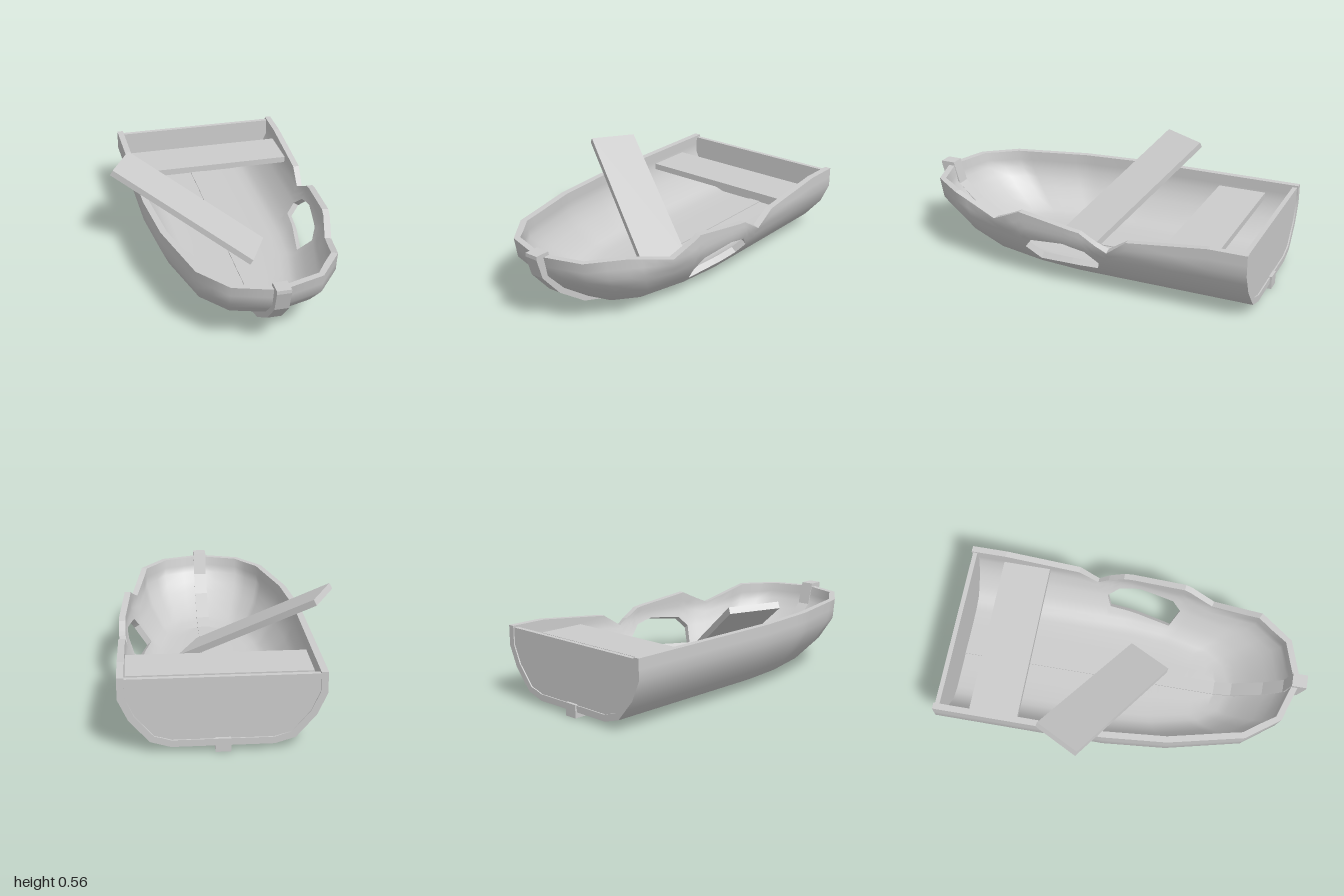
import * as THREE from 'three';

const TIP = 0.965, STERN = -0.99, THICK = 0.035;

// Piecewise-linear lookup in a list of [key, value] pairs
function lerpTable(table, k) {
  if (k <= table[0][0]) return table[0][1];
  for (let i = 1; i < table.length; i++) {
    const [k0, a] = table[i - 1], [k1, b] = table[i];
    if (k <= k1) return a + (b - a) * (k - k0) / (k1 - k0);
  }
  return table[table.length - 1][1];
}

// Hull girth from centreline to rim: half width, height, bow reach
const LEVELS = [[0, 0.03, 0.54], [0.25, 0.03, 0.54], [0.35, 0.06, 0.66],
  [0.45, 0.175, 0.83], [0.5, 0.285, 0.94], [0.5, 0.395, TIP]];
const column = c => LEVELS.map((l, i) => [i, l[c]]);
const WIDTH = column(0), HEIGHT = column(1), REACH = column(2);
const LEVEL_AT = LEVELS.slice(1).map((l, i) => [l[1], i + 1]);
const PLAN = [[-0.05, 1], [0.3, 0.935], [0.71, 0.74], [0.89, 0.47], [TIP, 0]];

// Damage on the left side: broken rim and a hole (station, height)
const RIM = [[-0.79, 0.395], [-0.36, 0.345], [-0.25, 0.26], [-0.1, 0.35],
  [0.26, 0.393], [0.44, 0.31], [0.71, 0.395]];
const HOLE_TOP = [[-0.19, 0.175], [-0.12, 0.24], [0, 0.265], [0.217, 0.235], [0.29, 0.175]];
const HOLE_LOW = [[-0.19, 0.175], [-0.165, 0.12], [0.27, 0.085], [0.29, 0.175]];

// Point on the hull skin; reflects past the bow and the centreline
function skin(s, v) {
  let sign = 1;
  if (s > TIP) { s = 2 * TIP - s; sign = -sign; }
  if (v < 0) { v = -v; sign = -sign; }
  const z = s > 0 ? s * lerpTable(REACH, v) / TIP : s;
  return new THREE.Vector3(sign * lerpTable(WIDTH, v) * lerpTable(PLAN, s), lerpTable(HEIGHT, v), z);
}

// Softened outward normal from wide differences
function skinNormal(s, v) {
  const down = new THREE.Vector3(0, -1, 0);
  if (v < 0.5) return down;
  const dv = skin(s, v + 0.35).sub(skin(s, v - 0.35));
  const ds = skin(s + 0.06, v).sub(skin(s - 0.06, v));
  const n = dv.cross(ds);
  return n.lengthSq() < 1e-12 ? down : n.normalize();
}

function vertex(s, v) {
  const out = skin(s, v), n = skinNormal(s, v);
  const inn = out.clone().addScaledVector(n, -THICK);
  inn.y = Math.min(inn.y, 0.395);
  return { out, inn, n, neg: n.clone().negate() };
}

// One half of the hull shell; side is +1 (damaged) or -1 (intact)
function hullHalf(side) {
  const pos = [], nor = [];
  function quad(pts, normals) {
    if (!normals) {
      const n = pts[2].clone().sub(pts[0]).cross(pts[3].clone().sub(pts[1])).normalize();
      normals = [n, n, n, n];
    }
    const order = side > 0 ? [0, 1, 2, 0, 2, 3] : [0, 2, 1, 0, 3, 2];
    for (const i of order) {
      pos.push(side * pts[i].x, pts[i].y, pts[i].z);
      nor.push(side * normals[i].x, normals[i].y, normals[i].z);
    }
  }
  const stations = [STERN, -0.6, 0.1, 0.36, 0.55, 0.63, 0.8, 0.93];
  for (const t of [PLAN, RIM, HOLE_TOP, HOLE_LOW]) stations.push(...t.map(p => p[0]));
  const list = [...new Set(stations)].sort((a, b) => a - b);

  const cols = list.map(s => {
    const damaged = side > 0;
    const level = (table, whole) => damaged ? lerpTable(LEVEL_AT, lerpTable(table, s)) : whole;
    const low = level(HOLE_LOW, 3), high = level(HOLE_TOP, 3), rim = level(RIM, 5);
    const lower = [0, 0.5, 1, 1.5, 2, (2 + low) / 2, low].map(v => vertex(s, v));
    const upper = [0, 0.25, 0.5, 0.75, 1].map(t => vertex(s, high + (rim - high) * t));
    return { lower, upper, open: high - low > 1e-4 };
  });

  for (let i = 0; i + 1 < cols.length; i++) {
    const A = cols[i], B = cols[i + 1];
    for (const part of ['lower', 'upper']) {
      const a = A[part], b = B[part];
      for (let j = 0; j + 1 < a.length; j++) {
        const c = [a[j], a[j + 1], b[j + 1], b[j]], r = [c[0], c[3], c[2], c[1]];
        quad(c.map(p => p.out), c.map(p => p.n));
        quad(r.map(p => p.inn), r.map(p => p.neg));
        if (i === 0) quad([a[j].out, a[j].inn, a[j + 1].inn, a[j + 1].out]);
      }
    }
    // Rim and hole edges
    const edge = (p, q) => quad([p.out, p.inn, q.inn, q.out]);
    edge(A.upper[4], B.upper[4]);
    if (A.open || B.open) {
      edge(A.lower[6], B.lower[6]);
      edge(B.upper[0], A.upper[0]);
    }
  }
  const g = new THREE.BufferGeometry();
  g.setAttribute('position', new THREE.Float32BufferAttribute(pos, 3));
  g.setAttribute('normal', new THREE.Float32BufferAttribute(nor, 3));
  return g;
}

function extrude(points, depth) {
  const shape = new THREE.Shape(points.map(p => new THREE.Vector2(...p)));
  return new THREE.ExtrudeGeometry(shape, { depth, bevelEnabled: false });
}

export function createModel() {
  const model = new THREE.Group();
  model.name = 'brokenRowboat';
  const boat = new THREE.Group();
  boat.name = 'boat';
  boat.position.x = 0.075;
  model.add(boat);
  const material = new THREE.MeshStandardMaterial({ color: 0xcccccc, side: THREE.DoubleSide });
  const add = (parent, name, geometry) => {
    const mesh = new THREE.Mesh(geometry, material);
    mesh.name = name;
    parent.add(mesh);
    return mesh;
  };

  add(boat, 'hullLeft', hullHalf(1));
  add(boat, 'hullRight', hullHalf(-1));

  // Keel and stem, one band running up the bow
  const keel = extrude([[-1, 0], [0.54, 0], [0.67, 0.04], [0.85, 0.16], [0.965, 0.285], [1, 0.395],
    [1, 0.415], [0.92, 0.415], [0.885, 0.29], [0.78, 0.195], [0.61, 0.095], [0.51, 0.07], [-1, 0.07]], 0.075);
  keel.rotateY(-Math.PI / 2).translate(0.0375, 0, 0);
  add(boat, 'keel', keel);

  // Flat stern board set inside the hull
  const half = LEVELS.slice(1).map(([w, y], i) => [w - 0.02, i === 4 ? 0.385 : y + 0.015]);
  const transom = extrude([...half, ...half.map(([x, y]) => [-x, y]).reverse()], 0.025);
  transom.translate(0, 0, -0.983);
  add(boat, 'transom', transom);

  // Rear bench
  add(boat, 'seat', new THREE.BoxGeometry(0.93, 0.035, 0.27)).position.set(0, 0.308, -0.67);

  // Loose plank leaning over the right rim
  const top = new THREE.Vector3(-0.508, 0.55, -0.272), foot = new THREE.Vector3(0.197, 0.1, 0.115);
  const along = foot.clone().sub(top), length = along.length();
  along.normalize();
  const across = new THREE.Vector3(-0.12, 0.008, 0.24);
  across.addScaledVector(along, -across.dot(along)).normalize();
  const up = across.clone().cross(along);
  const plank = add(model, 'loosePlank', new THREE.BoxGeometry(length, 0.035, 0.268));
  plank.quaternion.setFromRotationMatrix(new THREE.Matrix4().makeBasis(along, up, across));
  plank.position.copy(top).add(foot).multiplyScalar(0.5).addScaledVector(up, -0.0175);
  return model;
}
